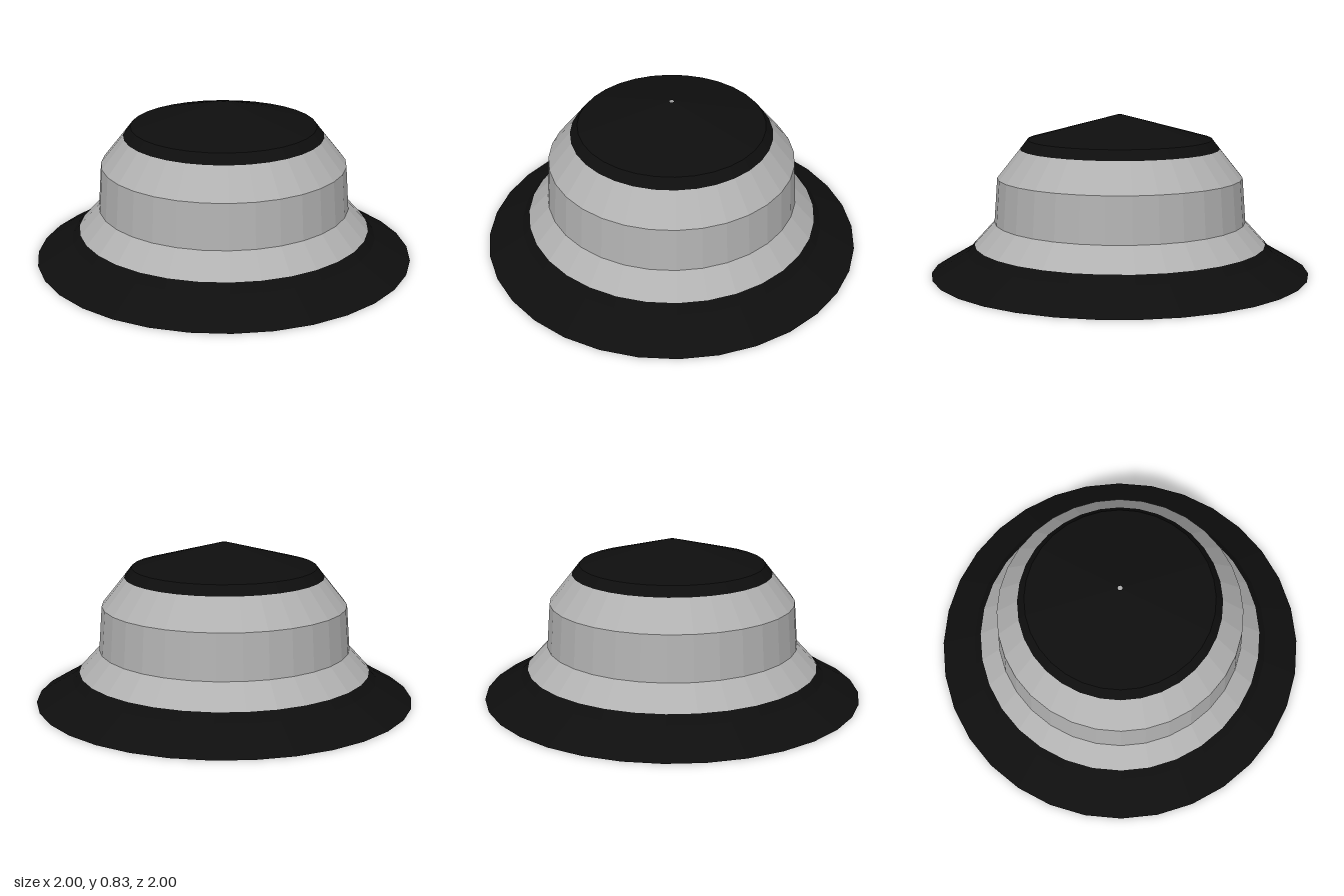
import * as THREE from 'three';

const SIDES = 32;

export function createModel() {
  const group = new THREE.Group();
  group.name = 'bucketHat';

  const material = (name, color) => {
    const m = new THREE.MeshStandardMaterial({ color, flatShading: true, side: THREE.DoubleSide });
    m.name = name;
    return m;
  };
  const black = material('black cloth', 0x0e0e0e);
  const grey = material('grey cloth', 0xb2b2b2);

  // Each band is a thin open shell turned from [radius, height] points, bottom to top
  const band = (name, mat, points) => {
    const profile = points.map(([r, y]) => new THREE.Vector2(r, y));
    const mesh = new THREE.Mesh(new THREE.LatheGeometry(profile, SIDES), mat);
    mesh.name = name;
    group.add(mesh);
  };

  // Flared brim and its paler upper part
  band('brim', black, [[1, 0], [0.81, 0.11], [0.772, 0.153]]);
  band('brimSlope', grey, [[0.772, 0.153], [0.665, 0.27]]);
  // Side wall and sloping shoulder
  band('sideWall', grey, [[0.665, 0.27], [0.647, 0.505]]);
  band('shoulder', grey, [[0.647, 0.505], [0.527, 0.655]]);
  // Dark top with a tiny eyelet left open at the peak
  band('crown', black, [[0.527, 0.655], [0.488, 0.705], [0.012, 0.833]]);

  return group;
}
